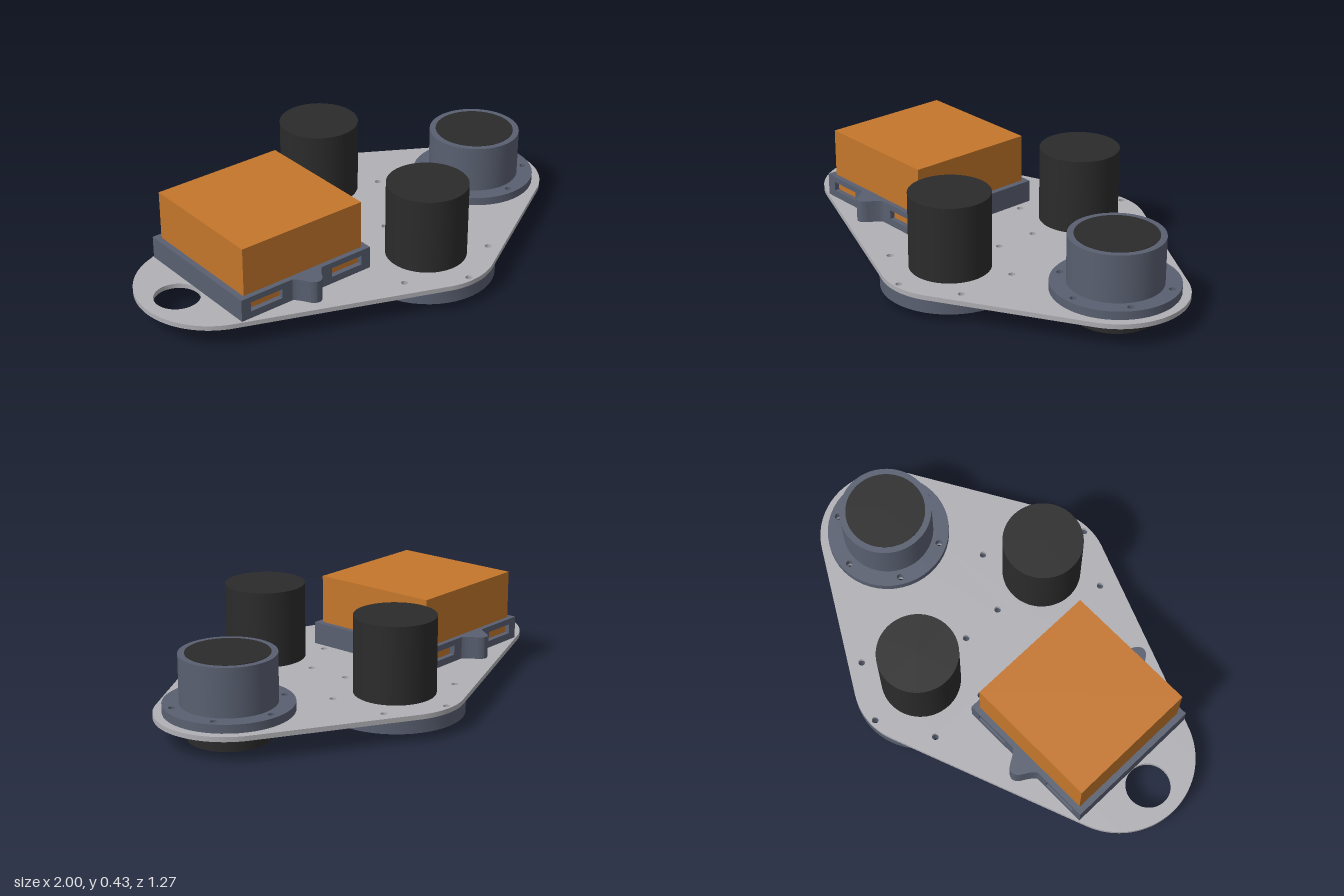
import * as THREE from 'three';
import { toCreasedNormals } from 'three/addons/utils/BufferGeometryUtils.js';

const material = (name, color, extra = {}) => new THREE.MeshStandardMaterial({ name, color, ...extra });

export function createModel() {
  const model = new THREE.Group();
  const aluminium = material('aluminium', 0xb0b0b5);
  const slate = material('slate', 0x5a6071);
  const black = material('black', 0x2b2b2b);
  const orange = material('orange', 0xc4762b);
  const silver = material('silver', 0xcdcdcd, { side: THREE.DoubleSide });

  const add = (name, geometry, mat, x = 0, y = 0, z = 0, parent = model) => {
    const mesh = new THREE.Mesh(geometry, mat);
    mesh.name = name;
    mesh.position.set(x, y, z);
    parent.add(mesh);
    return mesh;
  };
  const hole = (x, y, r, n = 0) => new THREE.Path().absarc(x, y, r, 0, Math.PI * 2, true);
  // Extrudes a plan-view shape upwards
  const slab = (shape, height) => toCreasedNormals(
    new THREE.ExtrudeGeometry(shape, { depth: height, bevelEnabled: false, curveSegments: 24 })
      .rotateX(-Math.PI / 2), 0.5);
  const cylinder = (r, h) => new THREE.CylinderGeometry(r, r, h, 64).translate(0, h / 2, 0);
  // Six bolt positions around a centre
  const bolts = (cx, cy, r) => Array.from({ length: 6 }, (_, i) => {
    const a = Math.PI / 2 + i * Math.PI / 3;
    return [cx + r * Math.cos(a), cy + r * Math.sin(a)];
  });

  const drive = { x: 0.125, z: 0.352, r: 0.283, bolt: 0.26 };
  const hub = { x: 0.705, r: 0.26, bolt: 0.226 };

  // Base plate: tangent lines joining four rounded corners
  const aLeft = Math.atan2(0.938, -0.347), aRight = Math.atan2(0.863, 0.506);
  const outline = new THREE.Shape();
  outline.absarc(hub.x, 0, 0.295, -aRight, aRight, false);
  outline.absarc(drive.x, drive.z, drive.r, aRight, aLeft, false);
  outline.absarc(-0.68, 0, 0.32, aLeft, Math.PI * 2 - aLeft, false);
  outline.absarc(drive.x, -drive.z, drive.r, -aLeft, -aRight, false);
  outline.holes.push(hole(-0.855, 0, 0.093));
  const plateBolts = [
    ...bolts(drive.x, drive.z, drive.bolt),
    ...bolts(drive.x, -drive.z, drive.bolt),
    ...bolts(hub.x, 0, hub.bolt),
  ];
  plateBolts.forEach(([x, y]) => outline.holes.push(hole(x, y, 0.014)));
  add('basePlate', slab(outline, 0.02), aluminium, 0, 0.09, 0);

  // Drilled mounting ring
  const flange = (r, inner, boltR, h) => {
    const s = new THREE.Shape().absarc(0, 0, r, 0, Math.PI * 2, false);
    s.holes.push(hole(0, 0, inner));
    bolts(0, 0, boltR).forEach(([x, y]) => s.holes.push(hole(x, y, 0.014)));
    return slab(s, h);
  };

  // Two upright motors with stepped bearings underneath
  const bearing = [[0.238, 0.035], [0.225, 0.035], [0.22, 0.05], [0.205, 0.05],
    [0.2, 0.06], [0.185, 0.06], [0.18, 0.066], [0.16, 0.066]].map(p => new THREE.Vector2(...p));
  for (const side of [1, -1]) {
    const unit = new THREE.Group();
    unit.name = side > 0 ? 'frontMotor' : 'backMotor';
    unit.position.set(drive.x, 0, side * drive.z);
    model.add(unit);
    add('motorBody', cylinder(0.167, 0.367), black, 0, 0.063, 0, unit);
    add('lowerFlange', flange(drive.r, 0.236, drive.bolt, 0.055), slate, 0, 0.035, 0, unit);
    add('bearing', toCreasedNormals(new THREE.LatheGeometry(bearing, 64), 0.5), silver, 0, 0, 0, unit);
  }

  // Inverted motor in its raised hub
  const hubUnit = new THREE.Group();
  hubUnit.name = 'hubMotor';
  hubUnit.position.x = hub.x;
  model.add(hubUnit);
  add('motorBody', cylinder(0.167, 0.347), black, 0, 0, 0, hubUnit);
  add('hubFlange', flange(hub.r, 0.18, hub.bolt, 0.035), slate, 0, 0.11, 0, hubUnit);
  add('hubHousing', cylinder(0.193, 0.235), slate, 0, 0.11, 0, hubUnit);

  // Battery in a tray
  const tray = new THREE.Group();
  tray.name = 'batteryTray';
  tray.position.set(-0.448, 0.11, 0);
  model.add(tray);
  add('battery', new THREE.BoxGeometry(0.575, 0.3, 0.565), orange, 0, 0.15, 0, tray);
  for (const side of [1, -1]) {
    add('endWall', new THREE.BoxGeometry(0.025, 0.095, 0.61), slate, side * 0.3025, 0.0475, 0, tray);

    // Long wall with two slots
    const wall = new THREE.Shape([[-0.315, 0], [0.315, 0], [0.315, 0.095], [-0.315, 0.095]]
      .map(p => new THREE.Vector2(...p)));
    for (const x of [-0.197, 0.197]) {
      wall.holes.push(new THREE.Path([[x - 0.075, 0.03], [x - 0.075, 0.07], [x + 0.075, 0.07], [x + 0.075, 0.03]]
        .map(p => new THREE.Vector2(...p))));
    }
    const wallGeometry = new THREE.ExtrudeGeometry(wall, { depth: 0.025, bevelEnabled: false });
    add('slottedWall', wallGeometry, slate, 0, 0, side > 0 ? 0.28 : -0.305, tray);

    // Rounded clamp lug
    const lug = new THREE.Shape();
    lug.moveTo(-0.076, 0);
    lug.quadraticCurveTo(-0.06, 0.005, -0.035, 0.05);
    lug.bezierCurveTo(-0.015, 0.086, 0.015, 0.086, 0.035, 0.05);
    lug.quadraticCurveTo(0.06, 0.005, 0.076, 0);
    lug.closePath();
    const mesh = add('clampLug', slab(lug, 0.095), slate, 0, 0, side * 0.304, tray);
    mesh.rotation.y = side > 0 ? Math.PI : 0;
  }
  return model;
}
